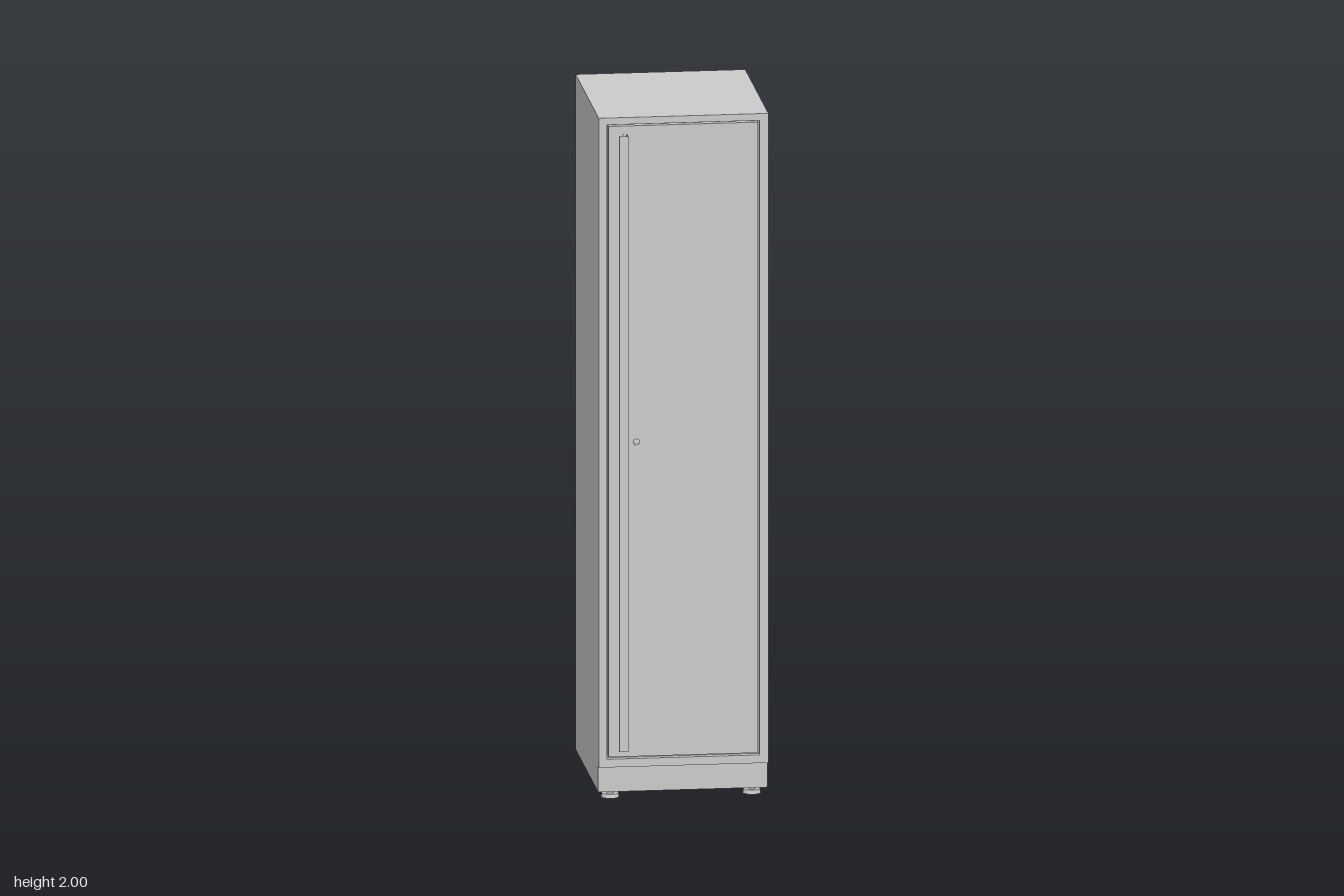
import * as THREE from 'three';

const mat = new THREE.MeshStandardMaterial({ color: 0xcccccc });

export function createModel() {
  const root = new THREE.Group();
  root.name = 'cabinet';

  const add = (name, geo, x = 0, y = 0, z = 0, parent = root) => {
    const mesh = new THREE.Mesh(geo, mat);
    mesh.name = name;
    mesh.position.set(x, y, z);
    parent.add(mesh);
    return mesh;
  };
  // Box given by its minimum and maximum corners
  const box = (name, [x0, y0, z0], [x1, y1, z1]) =>
    add(name, new THREE.BoxGeometry(x1 - x0, y1 - y0, z1 - z0), (x0 + x1) / 2, (y0 + y1) / 2, (z0 + z1) / 2);
  const polygon = (pts) => new THREE.Shape(pts.map(([x, y]) => new THREE.Vector2(x, y)));
  const rect = (x0, y0, x1, y1) => polygon([[x0, y0], [x1, y0], [x1, y1], [x0, y1]]);

  const W = 0.243, back = -0.281, front = 0.255, recess = 0.236;

  // Carcass, and the plinth set slightly back under it
  box('carcass', [-W, 0.1, back], [W, 2, recess]);
  box('plinth', [-W, 0.025, back], [W, 0.1, 0.24]);

  // Front frame around the door opening
  const frame = rect(-W, 0.1, W, 2);
  frame.holes.push(rect(-0.22, 0.124, 0.218, 1.98));
  add('frontFrame', new THREE.ExtrudeGeometry(frame, { depth: front - recess, bevelEnabled: false }), 0, 0, recess);

  // Flush door with a narrow gap all round
  box('door', [-0.215, 0.13, recess], [0.213, 1.975, front - 0.001]);

  // Full-height bent sheet handle, section drawn in x and z
  const t = 0.002;
  const section = polygon([
    [-0.175, 0.254], [-0.161, 0.254], [-0.161, 0.279], [-0.187, 0.279], [-0.187, 0.275],
    [-0.185, 0.275], [-0.185, 0.279 - t], [-0.161 - t, 0.279 - t], [-0.161 - t, 0.254 + t], [-0.175, 0.254 + t],
  ]);
  const handle = new THREE.ExtrudeGeometry(section, { depth: 1.8, bevelEnabled: false });
  handle.rotateX(Math.PI / 2).scale(1, 1, 1);
  add('handle', handle, 0, 1.95, 0);

  // Lock cylinder with a stepped rim
  const lock = new THREE.LatheGeometry(
    [[0.009, 0], [0.009, 0.003], [0.007, 0.006], [0, 0.006]].map(([r, y]) => new THREE.Vector2(r, y)), 24);
  lock.rotateX(Math.PI / 2);
  add('lock', lock, -0.135, 1.05, front - 0.001);

  // Four levelling feet: round pad and threaded stem
  for (const x of [-0.203, 0.203]) {
    for (const z of [0.193, -0.228]) {
      const foot = new THREE.Group();
      foot.name = 'foot';
      foot.position.set(x, 0, z);
      root.add(foot);
      add('footPad', new THREE.CylinderGeometry(0.024, 0.026, 0.012, 32), 0, 0.006, 0, foot);
      add('footStem', new THREE.CylinderGeometry(0.011, 0.011, 0.016, 20), 0, 0.018, 0, foot);
    }
  }

  return root;
}
